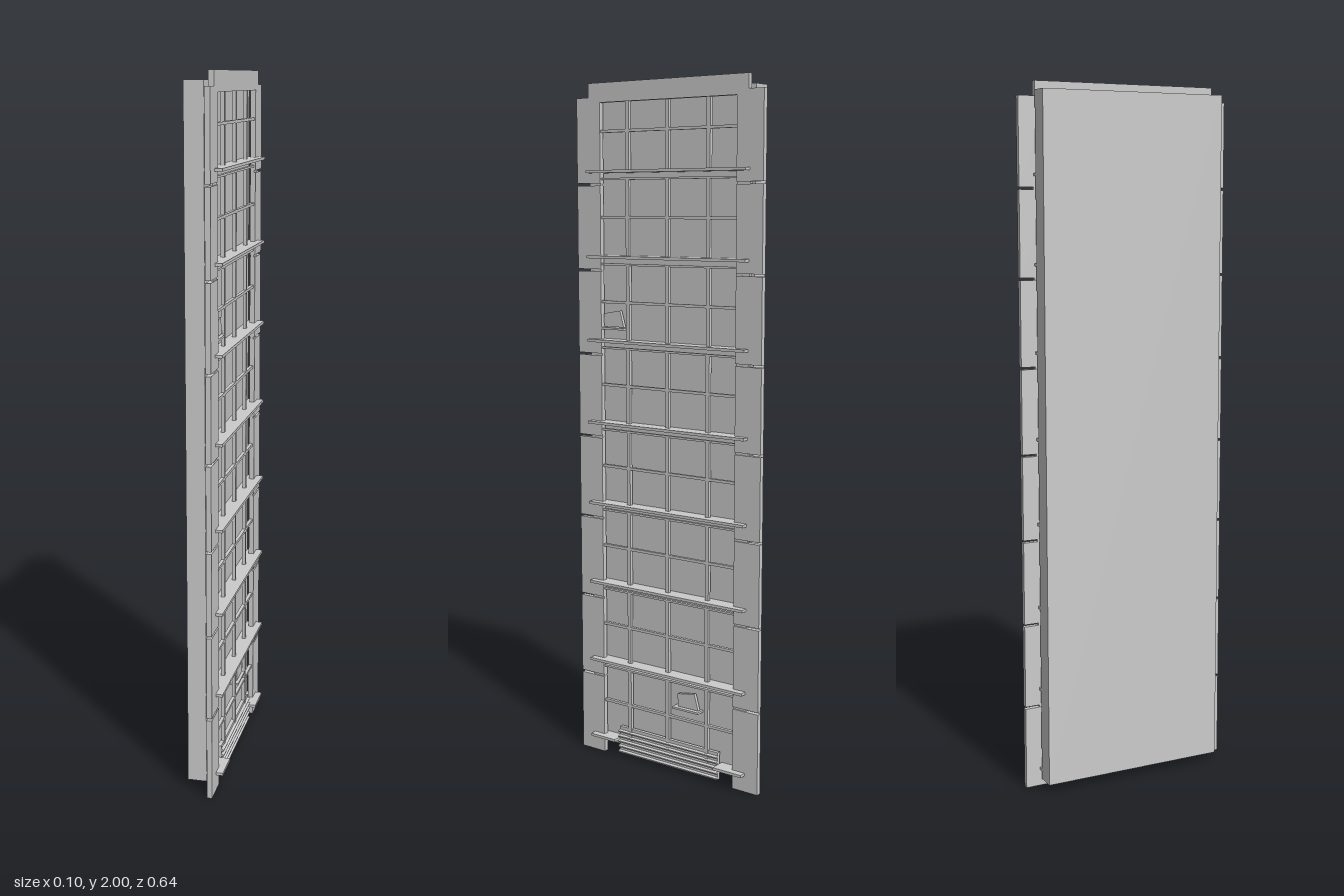
import * as THREE from 'three';

export function createModel() {
  const root = new THREE.Group();
  const material = new THREE.MeshStandardMaterial({ color: 0xcccccc, flatShading: true });

  // Box given by its limits on each axis
  function block(name, [x0, x1], [y0, y1], [z0, z1], parent = root) {
    const mesh = new THREE.Mesh(new THREE.BoxGeometry(x1 - x0, y1 - y0, z1 - z0), material);
    mesh.position.set((x0 + x1) / 2, (y0 + y1) / 2, (z0 + z1) / 2);
    mesh.name = name;
    parent.add(mesh);
    return mesh;
  }

  const frameX = [0.015, 0.03];
  const barX = [0.016, 0.026];
  const ledgeX = [0.002, 0.05];
  const floors = 8, pitch = 0.2428, firstLedge = 0.052;

  // Solid wall behind the window grid
  block('backWall', [-0.052, 0.002], [0.025, 1.975], [-0.277, 0.272]);

  // Side pillars, one block per storey with thin joints between
  for (const side of [-1, 1]) {
    const inner = side * 0.235, outer = side * 0.32;
    for (let i = 0; i < floors; i++) {
      const y0 = i * 0.2455, y1 = i === floors - 1 ? 1.96 : y0 + 0.239;
      block('pillarBlock', frameX, [y0, y1], [Math.min(inner, outer), Math.max(inner, outer)]);
      if (i > 0) {
        const a = side * 0.235, b = side * 0.277;
        block('pillarJoint', barX, [y0 - 0.0065, y0], [Math.min(a, b), Math.max(a, b)]);
      }
    }
  }

  // Header across the top
  block('header', frameX, [1.945, 2], [-0.272, 0.277]);

  // Storeys: ledge, beam under it, and window bars above it
  for (let i = 0; i < floors; i++) {
    const y = firstLedge + i * pitch;
    if (i === 0) {
      block('ledgeEnd', ledgeX, [y - 0.004, y + 0.004], [0.18, 0.272]);
      block('ledgeEnd', ledgeX, [y - 0.004, y + 0.004], [-0.277, -0.18]);
    } else {
      block('ledge', ledgeX, [y - 0.004, y + 0.004], [-0.277, 0.272]);
      block('beam', barX, [y - 0.024, y - 0.018], [-0.235, 0.235]);
    }
    const top = i === floors - 1 ? 1.945 : y + pitch - 0.018;
    for (const z of [-0.14, 0, 0.14])
      block('verticalBar', barX, [y, top], [z - 0.006, z + 0.006]);
    block('crossBar', barX, [y + 0.109, y + 0.117], [-0.235, 0.235]);
  }

  // Entrance panel at the foot with tilted louvres
  block('entrancePanel', [0.013, 0.024], [0.01, 0.092], [-0.18, 0.18]);
  for (let i = 0; i < 5; i++) {
    const slat = block('louvre', [0.018, 0.032], [0.013 + i * 0.016, 0.018 + i * 0.016], [-0.18, 0.18]);
    slat.rotation.z = -0.3;
  }

  // Small tilted window flaps, each on a narrow sill
  for (const [y, z] of [[1.302, 0.2], [0.197, -0.067]]) {
    const flap = new THREE.Group();
    flap.name = 'windowFlap';
    block('flapSill', [0.002, 0.03], [-0.003, 0.003], [-0.046, 0.046], flap);
    const shape = new THREE.Shape([[-0.03, 0.005], [0.042, 0.005], [0.028, 0.053], [-0.032, 0.043]]
      .map(([u, v]) => new THREE.Vector2(u, v)));
    const plate = new THREE.Mesh(new THREE.ExtrudeGeometry(shape, { depth: 0.01, bevelEnabled: false }), material);
    plate.name = 'flapPlate';
    plate.rotation.y = Math.PI / 2;
    plate.position.x = 0.012;
    flap.add(plate);
    flap.position.set(0, y, z);
    root.add(flap);
  }

  return root;
}
